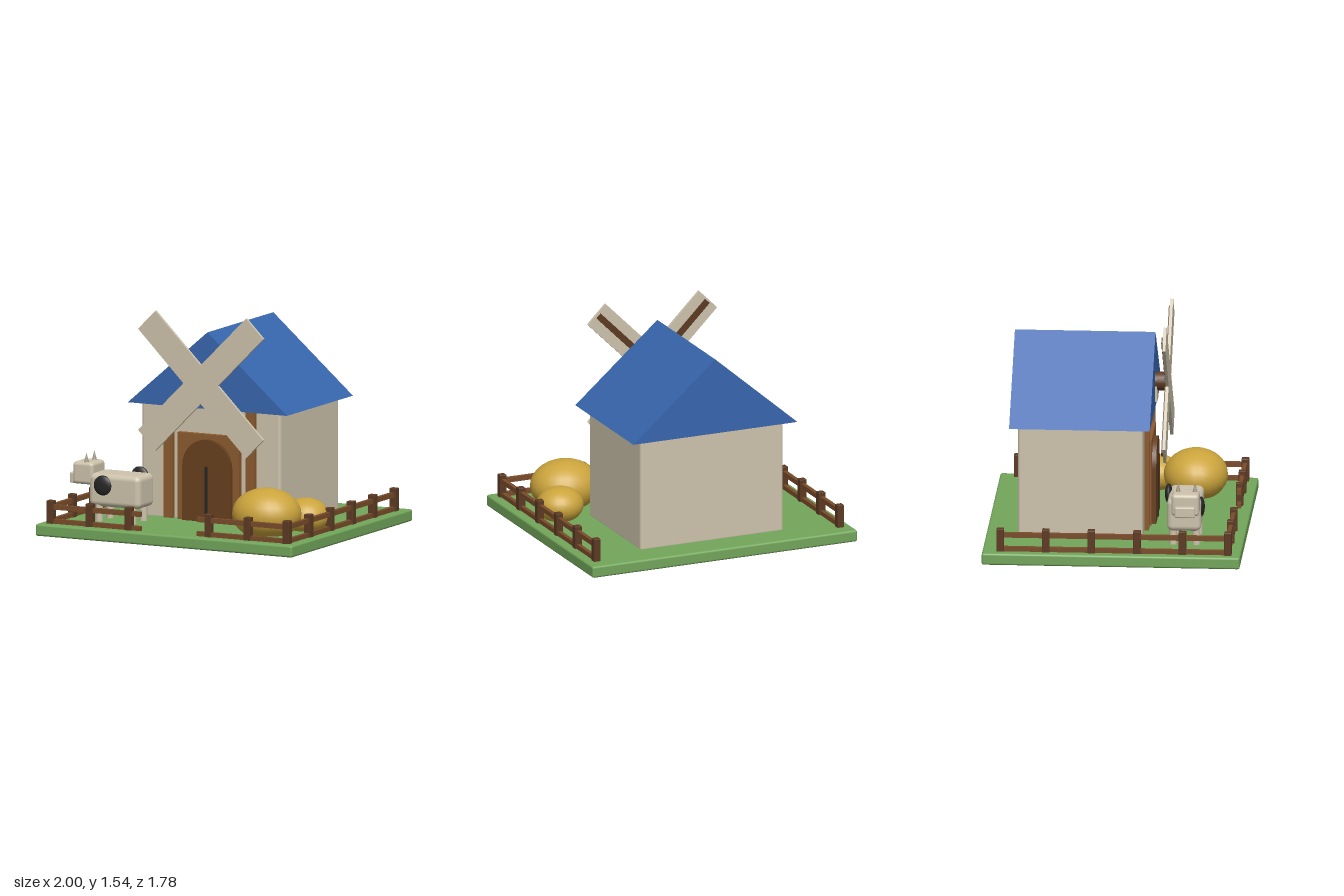
import * as THREE from 'three';
import { RoundedBoxGeometry } from 'three/addons/geometries/RoundedBoxGeometry.js';

const mat = (name, color) => Object.assign(new THREE.MeshStandardMaterial({ color }), { name });

export function createModel() {
  const root = new THREE.Group();
  root.name = 'farmWindmill';
  const M = {
    grass: mat('grass green', 0x72a65a),
    wall: mat('wall cream', 0xcdc3ac),
    roof: mat('roof blue', 0x3766ae),
    timber: mat('timber brown', 0x8b5a2f),
    door: mat('door brown', 0x67401f),
    rail: mat('rail brown', 0x7a4c2a),
    post: mat('post brown', 0x5c3a22),
    hay: mat('hay gold', 0xcba43c),
    black: mat('black', 0x262626),
    horn: mat('horn grey', 0xa39a88),
  };
  const add = (parent, name, geo, material, x = 0, y = 0, z = 0) => {
    const m = new THREE.Mesh(geo, material);
    m.name = name;
    m.position.set(x, y, z);
    parent.add(m);
    return m;
  };
  const group = (name) => {
    const g = new THREE.Group();
    g.name = name;
    root.add(g);
    return g;
  };
  // Box given by its extents on each axis; r rounds the edges
  const box = (parent, name, material, x0, x1, y0, y1, z0, z1, r = 0) => {
    const s = [x1 - x0, y1 - y0, z1 - z0];
    const geo = r ? new RoundedBoxGeometry(...s, 3, r) : new THREE.BoxGeometry(...s);
    return add(parent, name, geo, material, (x0 + x1) / 2, (y0 + y1) / 2, (z0 + z1) / 2);
  };
  const ball = (parent, name, material, x, y, z, rx, ry, rz) =>
    add(parent, name, new THREE.SphereGeometry(1, 24, 16), material, x, y, z).scale.set(rx, ry, rz);

  box(root, 'ground', M.grass, -1, 1, 0.002, 0.085, -0.89, 0.89, 0.015);

  // Barn walls and solid gabled roof
  const barn = group('barn');
  box(barn, 'walls', M.wall, -0.54, 0.54, 0.07, 0.88, -0.67, 0.192, 0.02);
  const gable = new THREE.Shape();
  gable.moveTo(-0.62, 0.87).lineTo(0.62, 0.87).lineTo(0, 1.405).closePath();
  add(barn, 'roof', new THREE.ExtrudeGeometry(gable, { depth: 0.97, bevelEnabled: false }), M.roof, 0, 0, -0.725);
  box(barn, 'loftPanel', M.wall, -0.06, 0.06, 0.92, 1.08, 0.24, 0.26);

  // Front timbers and arched door
  for (const s of [-1, 1])
    box(barn, 'wallPost', M.timber, s * 0.32 - 0.035, s * 0.32 + 0.035, 0.08, 0.87, 0.18, 0.222);
  box(barn, 'doorFrame', M.timber, -0.24, 0.24, 0.08, 0.69, 0.18, 0.232);
  box(barn, 'doorLeaf', M.door, -0.19, 0.19, 0.08, 0.47, 0.2, 0.262);
  add(barn, 'doorArch', new THREE.CylinderGeometry(0.187, 0.187, 0.06, 16, 1, false, Math.PI / 2, Math.PI),
    M.door, 0, 0.47, 0.232).rotation.x = Math.PI / 2;
  box(barn, 'doorSeam', M.black, -0.01, 0.01, 0.085, 0.47, 0.255, 0.27);

  // Sails: two crossed boards, each backed by a spar
  const sails = group('sails');
  sails.position.y = 1.055;
  add(sails, 'hub', new THREE.CylinderGeometry(0.065, 0.065, 0.085, 20), M.post, 0, 0, 0.283).rotation.x = Math.PI / 2;
  [-1, 1].forEach((s, i) => {
    const sail = new THREE.Group();
    sail.name = 'sail';
    sail.rotation.z = s * Math.PI / 4;
    sails.add(sail);
    box(sail, 'sailBoard', M.wall, -0.095, 0.095, -0.594, 0.594, 0.323, 0.344 + i * 0.001);
    box(sail, 'sailSpar', M.post, -0.022, 0.022, -0.58, 0.58, 0.311 + i * 0.001, 0.325);
  });

  // Fence along both sides and the front, with an open gateway
  const fence = group('fence');
  const post = (x, z) => box(fence, 'fencePost', M.post, x - 0.025, x + 0.025, 0, 0.245, z - 0.025, z + 0.025, 0.004);
  for (const s of [-1, 1]) {
    for (let i = 0; i < 6; i++) post(s * 0.92, -0.765 + i * 0.314);
    for (const x of [0.615, 0.31]) post(s * x, 0.805);
    for (const y of [0.1, 0.2]) {
      box(fence, 'sideRail', M.rail, s * 0.92 - 0.014, s * 0.92 + 0.014, y - 0.017, y + 0.017, -0.765, 0.805);
      box(fence, 'frontRail', M.rail, s * 0.57 - 0.35, s * 0.57 + 0.35, y - 0.017, y + 0.017, 0.791, 0.819);
    }
  }

  // Hay heaps
  ball(root, 'largeHayHeap', M.hay, 0.59, 0.22, 0.485, 0.245, 0.18, 0.222);
  ball(root, 'smallHayHeap', M.hay, 0.75, 0.18, 0.212, 0.165, 0.125, 0.157);

  // Cow facing the left fence
  const cow = group('cow');
  box(cow, 'body', M.wall, -0.74, -0.34, 0.19, 0.42, 0.37, 0.605, 0.04);
  box(cow, 'head', M.wall, -0.865, -0.705, 0.335, 0.49, 0.41, 0.6, 0.025);
  box(cow, 'muzzle', M.wall, -0.9, -0.85, 0.335, 0.41, 0.435, 0.575, 0.01);
  for (const z of [0.452, 0.568])
    add(cow, 'horn', new THREE.ConeGeometry(0.019, 0.075, 14), M.horn, -0.77, 0.518, z);
  for (const x of [-0.67, -0.41])
    for (const z of [0.41, 0.57])
      add(cow, 'leg', new THREE.CylinderGeometry(0.027, 0.027, 0.23, 14), M.wall, x, 0.115, z);
  ball(cow, 'leftSpot', M.black, -0.625, 0.34, 0.6, 0.07, 0.07, 0.026);
  ball(cow, 'rightSpot', M.black, -0.46, 0.385, 0.366, 0.068, 0.068, 0.026);

  return root;
}
